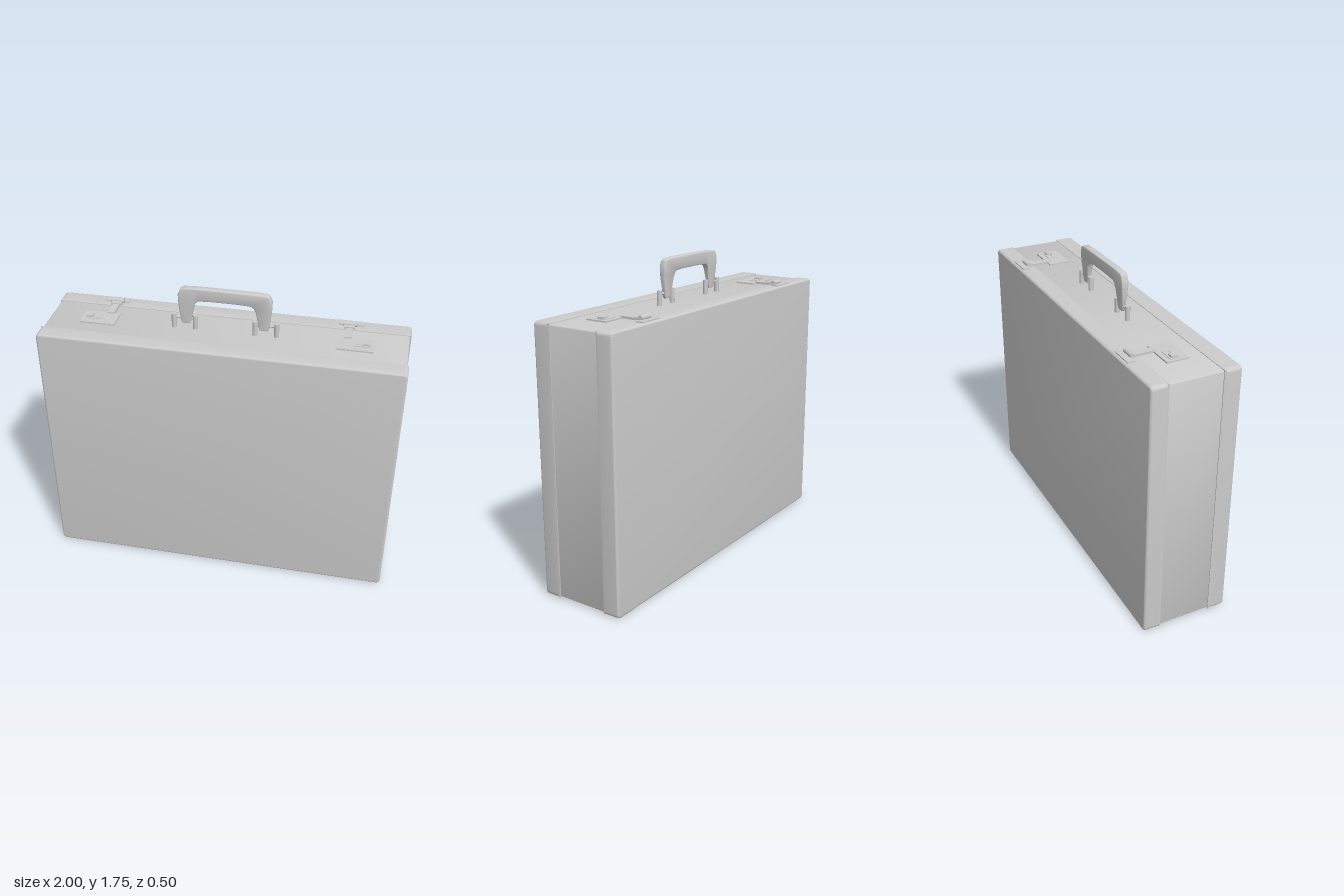
import * as THREE from 'three';
import { toCreasedNormals } from 'three/addons/utils/BufferGeometryUtils.js';

const mat = new THREE.MeshStandardMaterial({ color: 0xcccccc });

function add(parent, name, geo, x = 0, y = 0, z = 0) {
  const mesh = new THREE.Mesh(geo, mat);
  mesh.name = name;
  mesh.position.set(x, y, z);
  parent.add(mesh);
  return mesh;
}

// box given by its limits on each axis
function slab(parent, name, x0, x1, y0, y1, z0, z1) {
  return add(parent, name, new THREE.BoxGeometry(x1 - x0, y1 - y0, z1 - z0),
    (x0 + x1) / 2, (y0 + y1) / 2, (z0 + z1) / 2);
}

function roundedRect(w, h, r) {
  const s = new THREE.Shape(), x = w / 2, y = h / 2;
  s.absarc(x - r, y - r, r, 0, Math.PI / 2);
  s.absarc(-x + r, y - r, r, Math.PI / 2, Math.PI);
  s.absarc(-x + r, -y + r, r, Math.PI, Math.PI * 1.5);
  s.absarc(x - r, -y + r, r, Math.PI * 1.5, Math.PI * 2);
  s.closePath();
  return s;
}

// half shell: square rim at the middle, rounded edge on the outer face
function shellGeometry() {
  const b = 0.012, depth = 0.1;
  const geo = new THREE.ExtrudeGeometry(roundedRect(2 - 2 * b, 1.5 - 2 * b, 0.01), {
    depth: depth - 2 * b, bevelSize: b, bevelThickness: b, bevelSegments: 4, curveSegments: 4,
  });
  geo.translate(0, 0, b);
  // push the inner bevel out to a full-size square rim
  const p = geo.attributes.position;
  for (let i = 0; i < p.count; i++) {
    if (p.getZ(i) < b - 1e-5) {
      if (Math.abs(p.getX(i)) > 0.9) p.setX(i, Math.sign(p.getX(i)) * Math.max(Math.abs(p.getX(i)), 0.996));
      if (Math.abs(p.getY(i)) > 0.7) p.setY(i, Math.sign(p.getY(i)) * Math.max(Math.abs(p.getY(i)), 0.746));
    }
  }
  return toCreasedNormals(geo, 0.6);
}

// carrying grip: arched outline, thinner toward its feet
function gripGeometry() {
  const half = [[0.15, 1.742], [0.225, 1.738], [0.24, 1.73], [0.253, 1.7], [0.252, 1.65],
    [0.246, 1.59], [0.24, 1.54], [0.232, 1.528], [0.194, 1.528], [0.19, 1.54],
    [0.182, 1.585], [0.172, 1.635], [0.162, 1.658], [0.145, 1.672], [0.08, 1.676]];
  const pts = [...half, ...half.map(([x, y]) => [-x, y]).reverse()];
  const shape = new THREE.Shape(pts.map(([x, y]) => new THREE.Vector2(x, y)));
  const geo = new THREE.ExtrudeGeometry(shape, {
    depth: 0.024, bevelThickness: 0.008, bevelSize: 0.006, bevelOffset: -0.003, bevelSegments: 3,
  });
  geo.translate(0, 0, -0.012);
  const p = geo.attributes.position;
  for (let i = 0; i < p.count; i++) {
    const t = THREE.MathUtils.clamp((p.getY(i) - 1.55) / 0.13, 0, 1);
    p.setZ(i, p.getZ(i) * (0.5 + 0.5 * t));
  }
  return toCreasedNormals(geo, 0.6);
}

function createLatch(s) {
  const g = new THREE.Group();
  g.name = s > 0 ? 'leftLatch' : 'rightLatch';
  const part = (name, x0, x1, y0, y1, z0, z1) =>
    slab(g, name, Math.min(s * x0, s * x1), Math.max(s * x0, s * x1), y0, y1, z0, z1);

  // lock plate with raised panel, sliding button and key slot bar
  part('lockPlate', 0.61, 0.81, 1.485, 1.501, -0.06, 0.065);
  part('lockPanel', 0.7, 0.79, 1.5, 1.504, -0.03, 0.025);
  part('lockButton', 0.75, 0.785, 1.5, 1.513, -0.02, 0.015);
  part('slideBar', 0.71, 0.75, 1.5, 1.506, 0.004, 0.012);

  // hasp reaching over the seam to the keeper on the back shell
  part('haspStrip', 0.643, 0.683, 1.495, 1.508, -0.155, -0.05);
  part('haspHead', 0.632, 0.694, 1.5, 1.513, -0.185, -0.148);
  part('keeperPlate', 0.6, 0.738, 1.49, 1.506, -0.235, -0.19);
  const barrel = add(g, 'haspBarrel', new THREE.CylinderGeometry(0.014, 0.014, 0.076, 16),
    s * 0.663, 1.513, -0.188);
  barrel.rotation.z = Math.PI / 2;
  return g;
}

export function createModel() {
  const model = new THREE.Group();
  model.name = 'briefcase';

  // case body: recessed middle band between two shells
  const body = new THREE.Group();
  body.name = 'caseBody';
  model.add(body);
  const band = new THREE.ExtrudeGeometry(roundedRect(1.984, 1.486, 0.012),
    { depth: 0.31, bevelEnabled: false, curveSegments: 4 });
  band.translate(0, 0, -0.155);
  add(body, 'middleBand', toCreasedNormals(band, 0.6), 0, 0.75, 0);
  const shell = shellGeometry();
  add(body, 'frontShell', shell, 0, 0.75, 0.15);
  add(body, 'backShell', shell, 0, 0.75, -0.15).rotation.y = Math.PI;

  // handle with a pair of posts and a pin at each foot
  const handle = new THREE.Group();
  handle.name = 'handle';
  model.add(handle);
  add(handle, 'grip', gripGeometry());
  const post = new THREE.CylinderGeometry(0.014, 0.014, 0.09, 16);
  const pin = new THREE.CylinderGeometry(0.007, 0.007, 0.12, 12);
  for (const s of [-1, 1]) {
    for (const x of [0.165, 0.284]) add(handle, 'handlePost', post, s * x, 1.53, 0);
    add(handle, 'handlePin', pin, s * 0.2245, 1.555, 0).rotation.z = Math.PI / 2;
    model.add(createLatch(s));
  }
  return model;
}
